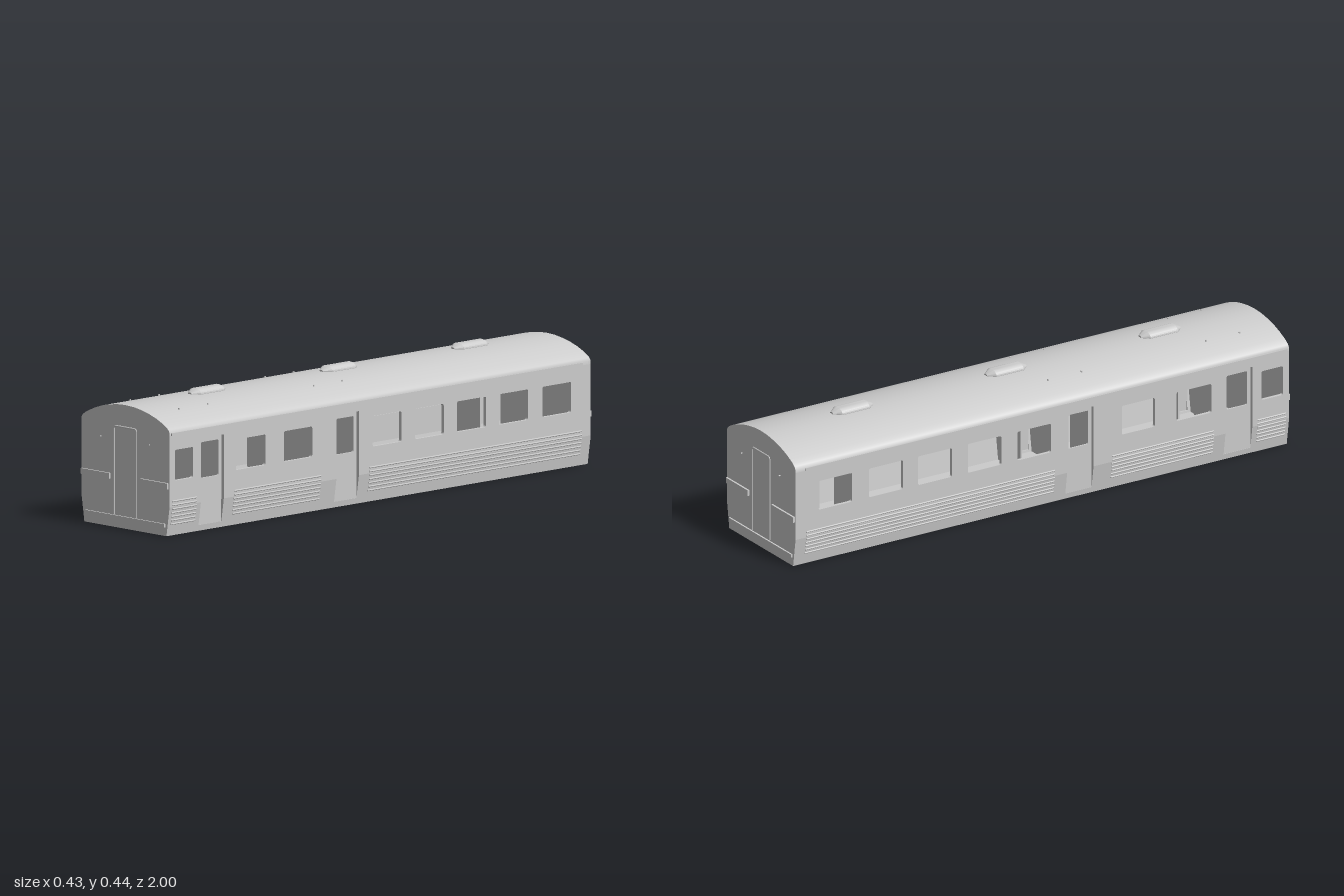
import * as THREE from 'three';
import { toCreasedNormals } from 'three/addons/utils/BufferGeometryUtils.js';

const L = 0.993;      // half length of the body
const W = 0.214;      // half width above the tumblehome
const KNEE = 0.1;     // height where the side starts to lean inwards
const EAVE = 0.345;   // top of the side wall
const T = 0.012;      // wall thickness
const WIN = [0.19, 0.295];
const WINDOWS = [[0.882, 0.968], [0.54, 0.68], [0.32, 0.453], [-0.1, 0.035],
  [-0.3, -0.165], [-0.5, -0.363], [-0.697, -0.56], [-0.9, -0.765]];
const DOORS = [[0.737, 0.845], [0.1, 0.206]];
const DOOR_TOP = 0.32, DOOR_SILL = 0.02;
const RIBS = [[0.865, 0.98], [0.28, 0.69], [-0.95, 0.05]];
const ROOF = [[0.214, 0.345], [0.213, 0.357], [0.208, 0.366], [0.198, 0.374], [0.182, 0.383],
  [0.15, 0.397], [0.115, 0.409], [0.08, 0.417], [0.04, 0.423], [0, 0.425]];

const sideX = y => W - Math.max(0, KNEE - y) * 0.15;

// Roof arc from +x to -x, inset by d
function arc(d = 0) {
  const half = ROOF.map(([x, y], i) => new THREE.Vector2(x * (W - d) / W, y - d * Math.min(1, i / 4)));
  return [...half, ...half.slice(0, -1).reverse().map(p => new THREE.Vector2(-p.x, p.y))];
}

// Whole cross-section of the car, inset by d
function section(d = 0) {
  const x0 = sideX(0) - d, x1 = W - d;
  return new THREE.Shape([new THREE.Vector2(-x0, d), new THREE.Vector2(x0, d),
    new THREE.Vector2(x1, KNEE), ...arc(d), new THREE.Vector2(-x1, KNEE)]);
}

function roundRect(a, b, c, d, r, Kind = THREE.Path) {
  const p = new Kind();
  p.moveTo(a + r, c).lineTo(b - r, c).quadraticCurveTo(b, c, b, c + r);
  p.lineTo(b, d - r).quadraticCurveTo(b, d, b - r, d);
  p.lineTo(a + r, d).quadraticCurveTo(a, d, a, d - r);
  p.lineTo(a, c + r).quadraticCurveTo(a, c, a + r, c);
  return p;
}

const extrude = (shape, depth) =>
  new THREE.ExtrudeGeometry(shape, { depth, bevelEnabled: false, curveSegments: 4 });

// Shape drawn in (z, y), outer face at x, thickened inwards
const sidePanel = (shape, depth, x) => extrude(shape, depth).rotateY(-Math.PI / 2).translate(x, 0, 0);

// Mirrored copy across x = 0 with the winding restored
function mirrored(geo) {
  const g = geo.index ? geo.toNonIndexed() : geo.clone();
  const p = g.attributes.position, v = new THREE.Vector3(), w = new THREE.Vector3();
  for (let i = 0; i < p.count; i += 3) {
    v.fromBufferAttribute(p, i + 1);
    w.fromBufferAttribute(p, i + 2);
    p.setXYZ(i + 1, w.x, w.y, w.z);
    p.setXYZ(i + 2, v.x, v.y, v.z);
  }
  for (let i = 0; i < p.count; i++) p.setX(i, -p.getX(i));
  g.computeVertexNormals();
  return g;
}

export function createModel() {
  const model = new THREE.Group();
  const mat = new THREE.MeshStandardMaterial({ color: 0xcccccc });
  const add = (name, geo, x = 0, y = 0, z = 0) => {
    const m = new THREE.Mesh(geo, mat);
    m.name = name;
    m.position.set(x, y, z);
    model.add(m);
    return m;
  };
  const box = (name, w, h, d, x, y, z) => add(name, new THREE.BoxGeometry(w, h, d), x, y, z);
  const pair = (name, geo) => { add(name + 'Left', geo); add(name + 'Right', mirrored(geo)); };

  // Upper side walls with window openings and door notches
  const upper = new THREE.Shape().moveTo(L, KNEE).lineTo(L, EAVE).lineTo(-L, EAVE).lineTo(-L, KNEE);
  const lower = new THREE.Shape().moveTo(L, KNEE).lineTo(L, 0).lineTo(-L, 0).lineTo(-L, KNEE);
  for (const [a, b] of [...DOORS].reverse()) {
    upper.lineTo(a, KNEE).lineTo(a, DOOR_TOP).lineTo(b, DOOR_TOP).lineTo(b, KNEE);
    lower.lineTo(a, KNEE).lineTo(a, DOOR_SILL).lineTo(b, DOOR_SILL).lineTo(b, KNEE);
  }
  for (const [a, b] of WINDOWS) upper.holes.push(roundRect(a, b, ...WIN, 0.007));
  pair('sideWall', sidePanel(upper, T, W));

  // Lower side walls lean inwards towards the floor
  const skirt = sidePanel(lower, T, W);
  const sp = skirt.attributes.position;
  for (let i = 0; i < sp.count; i++) sp.setX(i, sp.getX(i) - W + sideX(sp.getY(i)));
  skirt.computeVertexNormals();
  pair('lowerSideWall', skirt);

  // Recessed side doors with a window each
  for (const [a, b] of DOORS) {
    const door = new THREE.Shape([[a - 0.003, DOOR_SILL - 0.005], [b + 0.003, DOOR_SILL - 0.005],
      [b + 0.003, DOOR_TOP + 0.003], [a - 0.003, DOOR_TOP + 0.003]].map(p => new THREE.Vector2(...p)));
    door.holes.push(roundRect(a + 0.013, b - 0.013, 0.18, 0.303, 0.006));
    pair('sideDoor', sidePanel(door, 0.006, 0.201));
  }

  // Curved roof shell
  const roof = new THREE.Shape([...arc(), ...arc(T).reverse()]);
  add('roof', toCreasedNormals(extrude(roof, 2 * L).translate(0, 0, -L), 0.6));

  // Floor
  box('floor', 2 * sideX(0) - 0.004, T, 2 * L, 0, T / 2, 0);

  // Inner partitions with a central doorway
  for (const z of [0.86, 0.72, 0.22, 0.085, -0.73]) {
    const wall = section(T * 0.9);
    wall.holes.push(roundRect(-0.05, 0.05, 0.02, 0.33, 0.004));
    add('partition', extrude(wall, 0.006), 0, 0, z - 0.003);
  }

  for (const s of [1, -1]) {
    // End wall
    add('endWall', extrude(section(), T), 0, 0, s > 0 ? L - T : -L);

    // Raised frame around the end door
    const frame = new THREE.CurvePath();
    const pts = [[-0.054, 0.045], [-0.054, 0.343], [-0.049, 0.348], [0.049, 0.348], [0.054, 0.343], [0.054, 0.045]]
      .map(([x, y]) => new THREE.Vector3(x, y, s * L));
    for (let i = 1; i < pts.length; i++) frame.add(new THREE.LineCurve3(pts[i - 1], pts[i]));
    add('endDoorFrame', new THREE.TubeGeometry(frame, 120, 0.003, 8));

    // Handrails, buffer beam strip and lamp pins
    for (const side of [1, -1]) {
      box('endRail', 0.137, 0.02, 0.012, side * 0.1415, 0.173, s * (L + 0.001));
      add('endPin', new THREE.CylinderGeometry(0.0025, 0.0025, 0.012, 8).rotateX(Math.PI / 2),
        side * 0.118, 0.303, s * L);
    }
    box('endBeam', 0.388, 0.012, 0.01, 0, 0.036, s * (L + 0.001));
  }

  for (const side of [1, -1]) {
    // Gutter strip below the roof
    box('gutter', 0.005, 0.009, 1.94, side * W, 0.35, 0.015);

    // Corrugated ribs on the lower sides
    for (const [a, b] of RIBS) {
      for (let i = 0; i < 7; i++) {
        const y = 0.04 + i * 0.0133;
        add('sideRib', new THREE.CylinderGeometry(0.003, 0.003, b - a, 8).rotateX(Math.PI / 2),
          side * sideX(y), y, (a + b) / 2);
      }
    }

    // Small pins on the roof
    for (const z of [0.855, 0.72, 0.22, 0.085]) {
      add('roofPin', new THREE.CylinderGeometry(0.003, 0.003, 0.012, 8), side * 0.118, 0.407, z);
    }
  }

  // Roof ventilators with tapered ends
  const ventProfile = [[0, -0.08], [0.009, -0.08], [0.03, -0.055], [0.03, 0.055], [0.009, 0.08], [0, 0.08]]
    .map(p => new THREE.Vector2(...p));
  const vent = toCreasedNormals(
    new THREE.LatheGeometry(ventProfile, 24).rotateX(Math.PI / 2).scale(1, 0.6, 1), 0.5);
  for (const z of [0.61, -0.01, -0.63]) add('roofVent', vent, 0, 0.425, z);

  return model;
}
